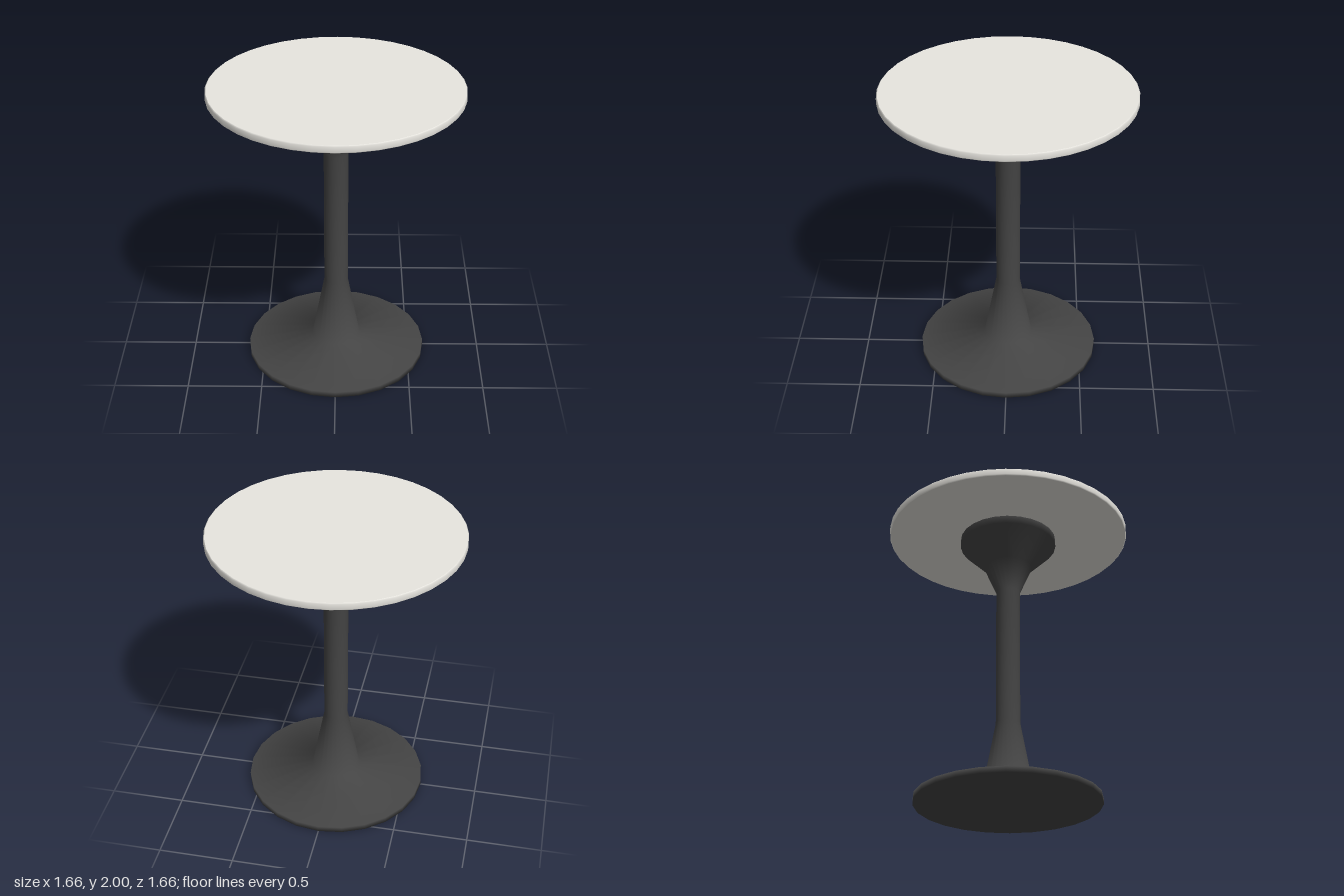
import * as THREE from 'three';

// Turned part from [radius, height] pairs; a repeated pair keeps that edge sharp.
function turned(name, profile, segments, color) {
  const points = profile.map(([r, y]) => new THREE.Vector2(r, y));
  const mesh = new THREE.Mesh(
    new THREE.LatheGeometry(points, segments),
    new THREE.MeshStandardMaterial({ color })
  );
  mesh.name = name;
  return mesh;
}

export function createModel() {
  const table = new THREE.Group();
  table.name = 'pedestalTable';

  // Flared foot, slim column and spreading support, turned as one piece
  table.add(turned('pedestal', [
    [0, 0], [0.612, 0], [0.612, 0.04],
    [0.165, 0.112],
    [0.081, 0.56], [0.081, 1.53],
    [0.165, 1.727],
    [0.332, 1.895], [0.332, 1.95],
  ], 24, 0x444444));

  // Round top with a small eased rim
  const y0 = 1.95, y1 = 2, r = 0.83, ease = 0.007;
  table.add(turned('tableTop', [
    [0, y0], [r - ease, y0], [r - ease, y0],
    [r, y0 + ease], [r, y1 - ease],
    [r - ease, y1], [r - ease, y1], [0, y1],
  ], 40, 0xe8e6e0));

  return table;
}
